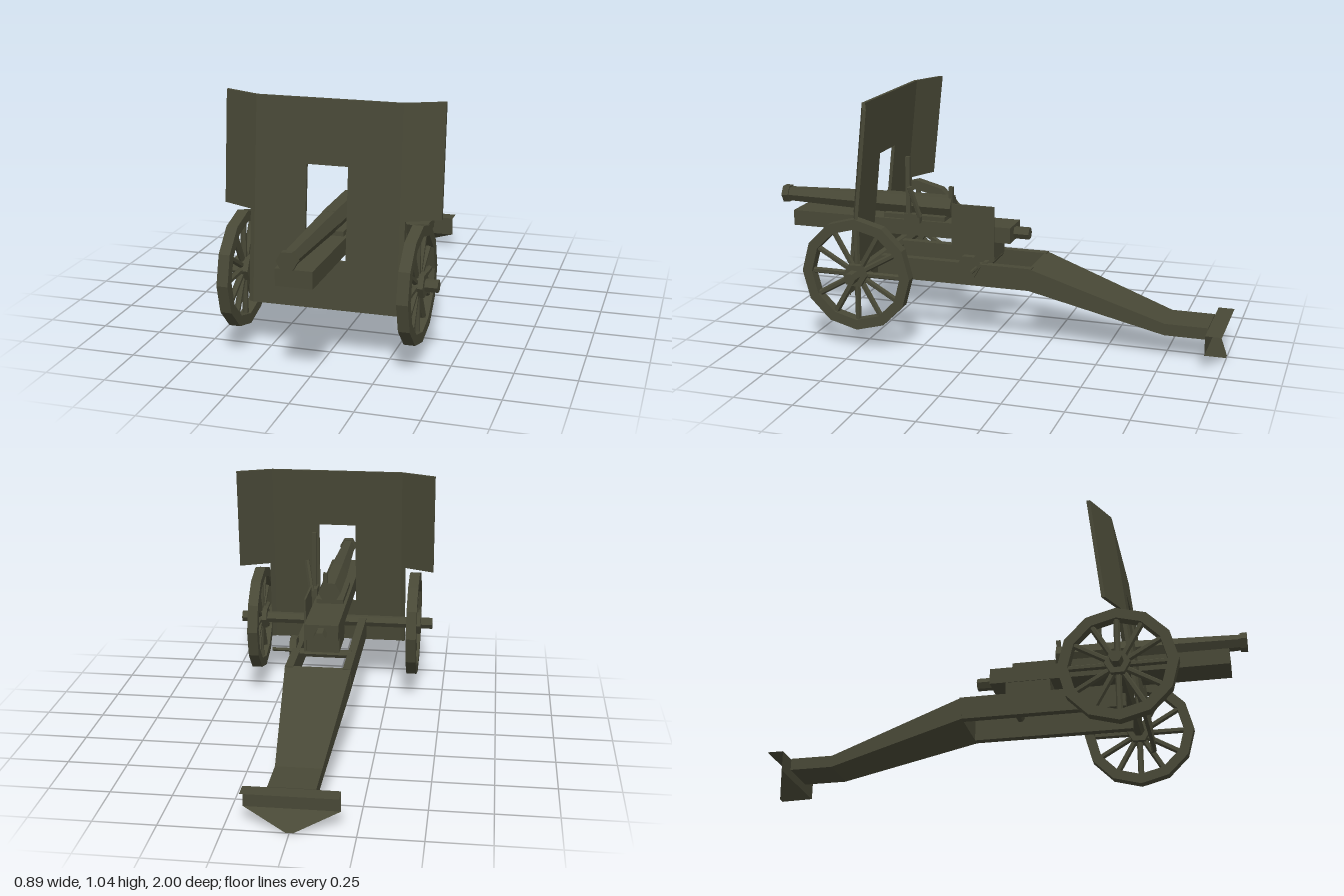
import * as THREE from 'three';

export function createModel() {
  const group = new THREE.Group();
  const olive = new THREE.MeshStandardMaterial({ color: 0x484836, flatShading: true, side: THREE.DoubleSide });
  olive.name = 'olive paint';

  const add = (name, geometry, parent = group) => {
    const mesh = new THREE.Mesh(geometry, olive);
    mesh.name = name;
    parent.add(mesh);
    return mesh;
  };
  // Box given by its limits on each axis
  const box = (name, x0, x1, y0, y1, z0, z1) =>
    add(name, new THREE.BoxGeometry(x1 - x0, y1 - y0, z1 - z0)
      .translate((x0 + x1) / 2, (y0 + y1) / 2, (z0 + z1) / 2));
  // Faceted rod from point a (radius ra) to point b (radius rb)
  const rod = (name, a, b, ra, rb = ra, sides = 6, turn = 0, parent = group) => {
    const p = new THREE.Vector3(...a), q = new THREE.Vector3(...b), d = q.clone().sub(p);
    const geometry = new THREE.CylinderGeometry(rb, ra, d.length(), sides, 1, false, turn);
    const mesh = add(name, geometry, parent);
    mesh.position.copy(p).add(q).multiplyScalar(0.5);
    mesh.quaternion.setFromUnitVectors(new THREE.Vector3(0, 1, 0), d.normalize());
    return mesh;
  };
  const outline = (pts) => pts.map(([x, y]) => new THREE.Vector2(x, y));

  // Barrel: breech jacket, long taper, muzzle collar
  const by = 0.552, flat = Math.PI / 6;
  rod('breechJacket', [0, by, 0.2], [0, by, 0.5], 0.05, 0.049, 6, flat);
  rod('barrel', [0, by, 0.5], [0, by, 0.97], 0.048, 0.033, 6, flat);
  rod('muzzleCollar', [0, by, 0.97], [0, by, 1], 0.04, 0.041, 6, flat);
  box('breechHandle', 0.008, 0.026, 0.54, 0.643, 0.195, 0.213);

  // Recoil cradle below the barrel
  box('cradle', -0.073, 0.073, 0.428, 0.496, -0.078, 0.925);
  box('cradleRest', -0.06, 0.06, 0.49, 0.515, 0.22, 0.5);
  rod('recoilStub', [0, 0.46, -0.145], [0, 0.46, -0.07], 0.027, 0.027, 6, flat);
  box('elevatingBlock', -0.07, 0.073, 0.35, 0.43, -0.01, 0.18);
  box('sidePlate', 0.075, 0.083, 0.35, 0.585, -0.01, 0.18);
  rod('crossShaft', [-0.12, 0.335, 0.02], [0.12, 0.335, 0.02], 0.018);

  // Elevating gear and crank on the left side
  rod('crankDisc', [0.125, 0.335, 0.083], [0.155, 0.335, 0.083], 0.052);
  rod('crankHandle', [0.15, 0.335, 0.045], [0.23, 0.335, 0.045], 0.008);

  // Sight
  box('sightMount', 0.07, 0.1, 0.49, 0.53, 0.32, 0.39);
  box('sightPost', 0.08, 0.098, 0.5, 0.78, 0.362, 0.381);
  rod('sightLever', [0.095, 0.52, 0.32], [0.12, 0.655, 0.355], 0.012);

  // Trail: two rails with an open well, then a tapering tail
  for (const s of [-1, 1]) {
    const rail = box('trailRail', -0.0175, 0.0175, 0.25, 0.346, -0.19, 0.5);
    rail.position.x = s * 0.122;
  }
  const sections = [[-0.93, 0.092, 0.1, 0.15], [-0.75, 0.092, 0.1, 0.15], [-0.18, 0.14, 0.25, 0.346]];
  const tail = new THREE.BoxGeometry(2, 1, 2, 1, 1, 2);
  const tp = tail.attributes.position;
  for (let i = 0; i < tp.count; i++) {
    const [z, w, low, high] = sections[Math.round(tp.getZ(i)) + 1];
    tp.setXYZ(i, tp.getX(i) * w, tp.getY(i) > 0 ? high : low, z);
  }
  tail.computeVertexNormals();
  add('trailTail', tail);

  // Spade: top flange, upright plate and swept-back point
  add('spadeFlange', new THREE.PlaneGeometry(0.37, 0.068).rotateX(-Math.PI / 2).translate(0, 0.149, -0.966));
  add('spadePlate', new THREE.PlaneGeometry(0.37, 0.084).translate(0, 0.107, -0.932));
  const point = new THREE.ShapeGeometry(new THREE.Shape(outline(
    [[-0.185, 0.066], [-0.015, 0], [0.015, 0], [0.185, 0.066]])));
  const pp = point.attributes.position;
  for (let i = 0; i < pp.count; i++) pp.setZ(i, -0.932 - (0.066 - pp.getY(i)));
  point.computeVertexNormals();
  add('spadePoint', point);

  // Shield: leaning centre panel with gun port, side wings folded back
  const bend = 0.295;
  const panel = (name, pts, hole) => {
    const shape = new THREE.Shape(outline(pts));
    if (hole) shape.holes.push(new THREE.Path(outline(hole)));
    const g = new THREE.ExtrudeGeometry(shape, { depth: 0.015, bevelEnabled: false });
    const p = g.attributes.position;
    for (let i = 0; i < p.count; i++) {
      const fold = Math.max(0, Math.abs(p.getX(i)) - bend) * 0.45;
      p.setZ(i, p.getZ(i) + 0.473 + (1.04 - p.getY(i)) * 0.108 - fold);
    }
    g.computeVertexNormals();
    add(name, g);
  };
  panel('shieldCentre', [[-bend, 0.215], [bend, 0.215], [bend, 1.04], [-bend, 1.04]],
    [[-0.084, 0.41], [-0.084, 0.784], [0.084, 0.784], [0.084, 0.41]]);
  for (const s of [-1, 1]) {
    const wing = [[bend, 0.215], [0.315, 0.215], [0.315, 0.587], [0.446, 0.587], [0.446, 1.04], [bend, 1.04]];
    panel('shieldWing', wing.map(([x, y]) => [s * x, y]));
  }

  // Axle and spoked wheels
  const wy = 0.328, wz = 0.5, sides = 12;
  rod('axle', [-0.446, wy, wz], [0.446, wy, wz], 0.026);
  const ring = (r) => outline(Array.from({ length: sides }, (_, i) => {
    const a = (i / sides) * Math.PI * 2;
    return [Math.cos(a) * r, Math.sin(a) * r];
  }));
  const rimShape = new THREE.Shape(ring(0.24));
  rimShape.holes.push(new THREE.Path(ring(0.197)));
  const rim = new THREE.ExtrudeGeometry(rimShape, { depth: 0.046, bevelEnabled: false })
    .translate(0, 0, -0.023).rotateY(Math.PI / 2);
  for (const s of [-1, 1]) {
    const wheel = new THREE.Group();
    wheel.name = s > 0 ? 'leftWheel' : 'rightWheel';
    wheel.position.set(s * 0.36, wy, wz);
    group.add(wheel);
    add('rim', rim, wheel);
    rod('hub', [-0.033, 0, 0], [0.033, 0, 0], 0.052, 0.052, 6, 0, wheel);
    for (let i = 0; i < sides; i++) {
      const a = (i / sides) * Math.PI * 2, c = Math.cos(a), n = Math.sin(a);
      rod('spoke', [0, n * 0.03, c * 0.03], [0, n * 0.205, c * 0.205], 0.013, 0.013, 6, 0, wheel);
    }
  }
  return group;
}
